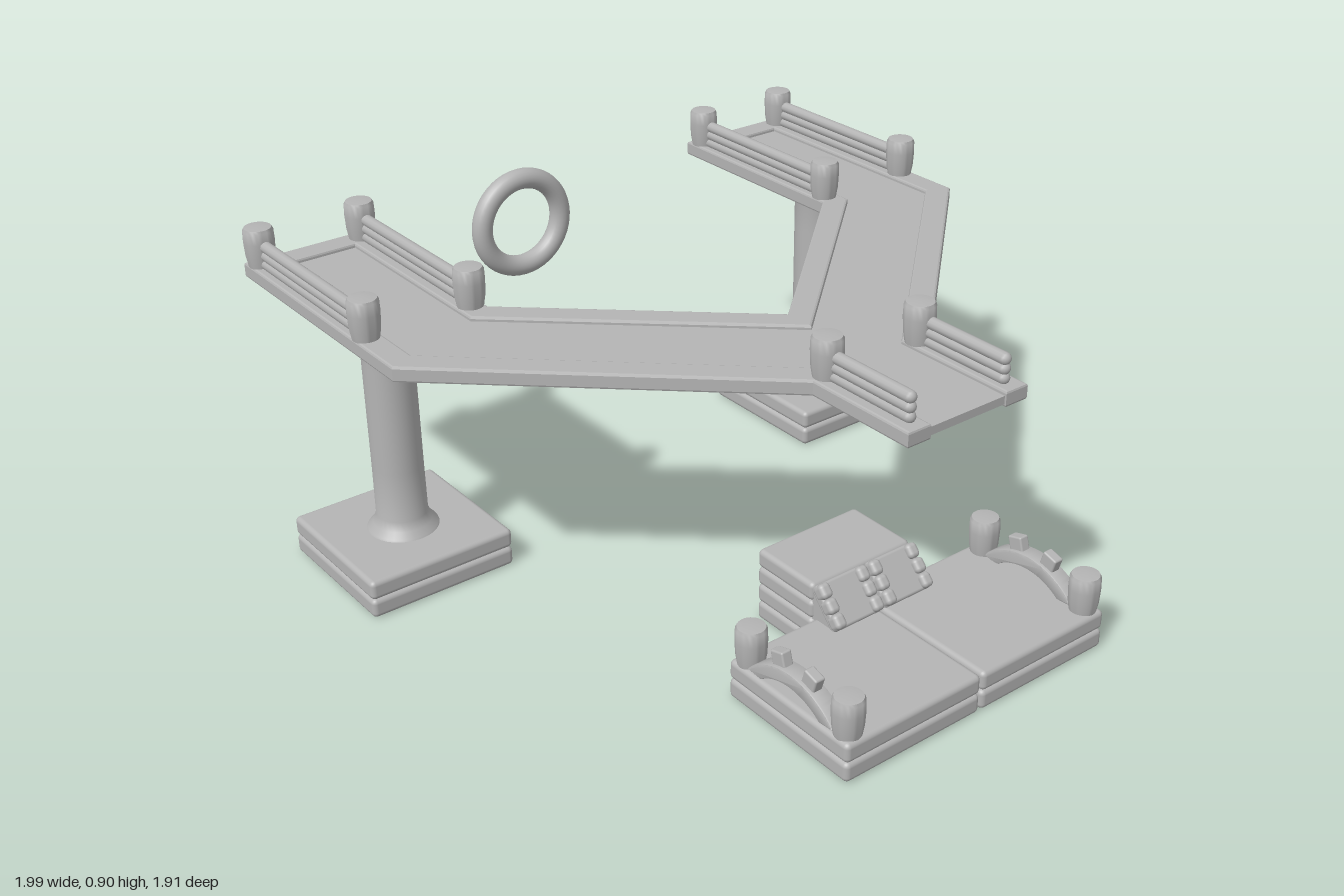
import * as THREE from 'three';
import { toCreasedNormals } from 'three/addons/utils/BufferGeometryUtils.js';
import { RoundedBoxGeometry } from 'three/addons/geometries/RoundedBoxGeometry.js';

export function createModel() {
  const model = new THREE.Group();
  const grey = new THREE.MeshStandardMaterial({ color: 0xb4b4b4 });
  grey.name = 'soft grey';

  const add = (name, geometry, x = 0, y = 0, z = 0, parent = model) => {
    const mesh = new THREE.Mesh(geometry, grey);
    mesh.name = name;
    mesh.position.set(x, y, z);
    parent.add(mesh);
    return mesh;
  };
  const lathe = (points) => toCreasedNormals(
    new THREE.LatheGeometry(points.map(([r, y]) => new THREE.Vector2(r, y)), 32), 0.6);
  const polygon = (points) => new THREE.Shape(points.map(([x, y]) => new THREE.Vector2(x, y)));

  // Stack of soft-edged slabs, each 0.055 high
  const slabs = (name, count, height, w, d, x, z) => {
    const h = height / count;
    for (let i = 0; i < count; i++) {
      add(name, new RoundedBoxGeometry(w, h, d, 3, 0.014), x, h * (i + 0.5), z);
    }
  };

  // Y-shaped deck: half outlines, mirrored across z = 0
  const outer = [[0.89, 0.19], [0.57, 0.19], [-0.1, 0.92], [-0.88, 0.92],
    [-0.88, 0.56], [-0.25, 0.56], [0.256, 0]];
  const inner = [[0.89, 0.12], [0.54, 0.12], [-0.13, 0.85], [-0.81, 0.85],
    [-0.81, 0.63], [-0.22, 0.63], [0.347, 0]];
  const mirrored = (half) => [...half, ...half.slice(0, -1).reverse().map(([x, z]) => [x, -z])];
  const flat = (points, bottom, height, bevel) => {
    const g = new THREE.ExtrudeGeometry(polygon(points), {
      depth: height - 2 * bevel, bevelEnabled: bevel > 0, bevelSize: bevel,
      bevelThickness: bevel, bevelOffset: -bevel, bevelSegments: 2,
    });
    g.rotateX(-Math.PI / 2);
    g.translate(0, bottom + bevel, 0);
    return g;
  };
  add('deckRim', flat([...mirrored(outer), ...mirrored(inner).reverse()], 0.75, 0.042, 0.006));
  add('deckPanel', flat(mirrored(inner.map(([x, z], i) =>
    [i === 0 ? 0.885 : x, z])), 0.758, 0.022, 0));

  // Barrel-shaped posts
  const postShape = lathe([[0, 0], [0.034, 0], [0.039, 0.03], [0.041, 0.07],
    [0.04, 0.1], [0.036, 0.108], [0, 0.112]]);
  const post = (name, x, y, z) => add(name, postShape, x, y, z);

  // Three stacked rails running along x
  const rails = (x0, x1, z) => {
    for (let i = 0; i < 3; i++) {
      const g = new THREE.CapsuleGeometry(0.016, x1 - x0 - 0.032, 4, 12);
      g.rotateZ(Math.PI / 2);
      add('rail', g, (x0 + x1) / 2, 0.803 + i * 0.025, z);
    }
  };

  const columnShape = lathe([[0.1, 0.105], [0.095, 0.115], [0.08, 0.13], [0.07, 0.155],
    [0.069, 0.3], [0.069, 0.6], [0.069, 0.7], [0.074, 0.725], [0.085, 0.74], [0.086, 0.762]]);

  // Curved arch between the low platform posts
  const arch = new THREE.Shape();
  arch.absarc(0, 0, 0.206, 0.72, Math.PI - 0.72, false);
  arch.absarc(0, 0, 0.168, Math.PI - 0.9, 0.9, true);
  const archShape = toCreasedNormals(new THREE.ExtrudeGeometry(arch, {
    depth: 0.04, bevelSize: 0.005, bevelThickness: 0.005, bevelOffset: -0.005,
    bevelSegments: 2, curveSegments: 24,
  }), 0.6);
  archShape.translate(0, 0, -0.02);

  for (const s of [1, -1]) {
    // Column with its square foot
    slabs('columnFoot', 2, 0.11, 0.43, 0.43, -0.475, s * 0.738);
    add('column', columnShape, -0.47, 0, s * 0.738);

    // Railings at the two long ends and the short end
    for (const z of [0.888, 0.592]) {
      for (const x of [-0.84, -0.28]) post('deckPost', x, 0.79, s * z);
      rails(-0.84, -0.28, s * z);
    }
    post('deckPost', 0.57, 0.79, s * 0.148);
    rails(0.57, 0.865, s * 0.15);

    // Half of the low platform with posts, arch and blocks
    slabs('platformSlab', 2, 0.11, 0.43, 0.433, 0.779, s * 0.219);
    for (const x of [0.605, 0.953]) post('platformPost', x, 0.105, s * 0.398);
    add('arch', archShape, 0.779, -0.024, s * 0.402);
    for (const t of [1, -1]) {
      const block = add('archBlock', new RoundedBoxGeometry(0.045, 0.042, 0.03, 2, 0.005),
        0.779 + t * 0.056, 0.19, s * 0.402);
      block.rotation.z = -t * 0.28;
    }

    // Sloping step panel with beaded side rails
    const ramp = new THREE.Group();
    ramp.name = 'rampPanel';
    ramp.position.set(0.6, 0.155, s * 0.085);
    ramp.rotation.z = -0.84;
    model.add(ramp);
    add('rampPad', new RoundedBoxGeometry(0.125, 0.03, 0.155, 2, 0.008), 0, 0, 0, ramp);
    for (const side of [1, -1]) {
      for (let i = -1; i <= 1; i++) {
        add('rampBead', new RoundedBoxGeometry(0.04, 0.04, 0.034, 3, 0.012),
          i * 0.041, 0.012, side * 0.063, ramp);
      }
    }
  }

  // Raised block behind the ramp, and the wedge under the ramp
  slabs('raisedBlock', 4, 0.21, 0.215, 0.335, 0.455, 0);
  const wedge = new THREE.ExtrudeGeometry(
    polygon([[0.555, 0.105], [0.64, 0.105], [0.555, 0.2]]), { depth: 0.32, bevelEnabled: false });
  add('rampWedge', wedge, 0, 0, -0.16);

  // Hanging ring
  const ring = new THREE.TorusGeometry(0.137, 0.031, 20, 48);
  ring.rotateY(Math.PI / 2);
  add('ring', ring, -0.969, 0.64, 0);

  return model;
}
